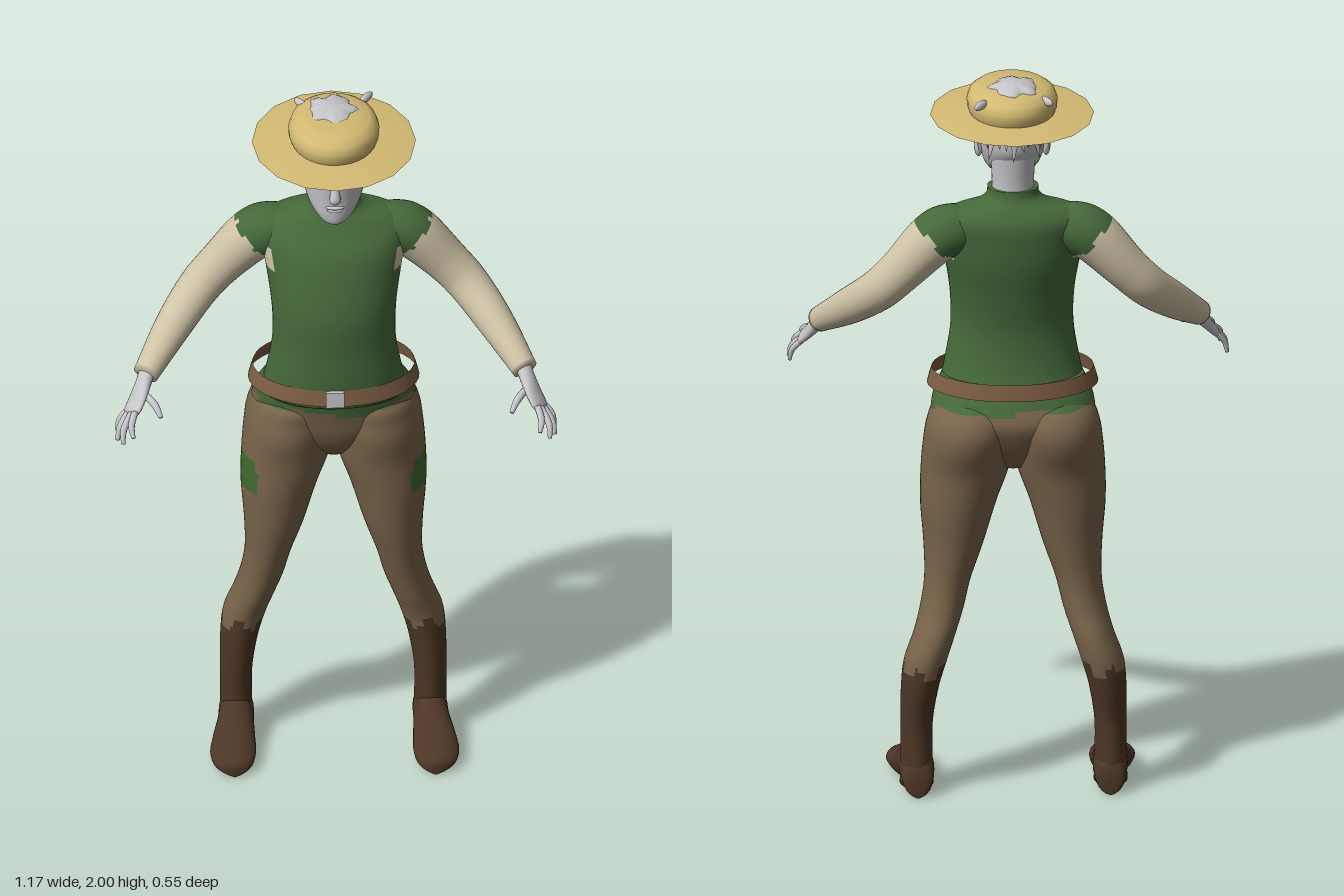
import * as THREE from 'three';

const V = (x, y, z) => new THREE.Vector3(x, y, z);
const paint = (name, color) => Object.assign(new THREE.MeshStandardMaterial({ color }), { name });

// Smoothly subdivides a table of section rows (Catmull-Rom on every column)
function refine(rows, sub) {
  const out = [], at = i => rows[Math.max(0, Math.min(rows.length - 1, i))];
  for (let i = 0; i < rows.length - 1; i++) for (let k = 0; k < sub; k++) {
    const t = k / sub;
    out.push(rows[i].map((_, c) => {
      const [a, b, d, e] = [at(i - 1)[c], at(i)[c], at(i + 1)[c], at(i + 2)[c]];
      return b + 0.5 * t * (d - a + t * (2 * a - 5 * b + 4 * d - e + t * (3 * (b - d) + e - a)));
    }));
  }
  out.push(rows.at(-1));
  return out;
}

// Closed skin over rings {c, u, v}; pick(point, angle) gives the material index of a quad
function loft(name, rings, mats, seg = 32, pick = () => 0) {
  const pos = [], tris = mats.map(() => []), n = rings.length;
  const pt = (r, a) => r.c.clone().addScaledVector(r.u, Math.cos(a)).addScaledVector(r.v, Math.sin(a));
  rings.forEach(r => {
    for (let j = 0; j < seg; j++) pos.push(...pt(r, j / seg * Math.PI * 2).toArray());
  });
  pos.push(...rings[0].c.toArray(), ...rings[n - 1].c.toArray());
  for (let j = 0; j < seg; j++) {
    const k = (j + 1) % seg, ang = (j + 0.5) / seg * Math.PI * 2, top = (n - 1) * seg;
    for (let i = 0; i < n - 1; i++) {
      const mid = pt(rings[i], ang).lerp(pt(rings[i + 1], ang), 0.5);
      const a = i * seg + j, b = i * seg + k;
      tris[pick(mid, ang)].push(a, b, b + seg, a, b + seg, a + seg);
    }
    tris[pick(rings[0].c, ang)].push(k, j, n * seg);
    tris[pick(rings[n - 1].c, ang)].push(top + j, top + k, n * seg + 1);
  }
  const g = new THREE.BufferGeometry();
  g.setAttribute('position', new THREE.Float32BufferAttribute(pos, 3));
  g.setIndex(tris.flat());
  let start = 0;
  tris.forEach((t, i) => { g.addGroup(start, t.length, i); start += t.length; });
  g.computeVertexNormals();
  const mesh = new THREE.Mesh(g, mats.length > 1 ? mats : mats[0]);
  mesh.name = name;
  return mesh;
}

// Rows [y, cx, cz, rx, rz] -> horizontal rings
const stack = (rows, sub = 5) => refine(rows, sub).map(([y, cx, cz, rx, rz]) =>
  ({ c: V(cx, y, cz), u: V(0, 0, rz), v: V(rx, 0, 0) }));

// Rows [x, y, z, r, flatness] -> rings across a path
function path(rows, ref = V(0, 0, 1), sub = 5) {
  const p = refine(rows, sub), c = p.map(r => V(r[0], r[1], r[2]));
  return p.map((r, i) => {
    const t = c[Math.min(i + 1, c.length - 1)].clone().sub(c[Math.max(i - 1, 0)]).normalize();
    const u = ref.clone().addScaledVector(t, -ref.dot(t)).normalize();
    const v = t.clone().cross(u);
    return { c: c[i], u: u.multiplyScalar(r[3]), v: v.multiplyScalar(r[3] * (r[4] ?? 1)) };
  });
}

// Copy of a mesh reflected across x = 0
function mirrored(mesh) {
  const g = mesh.geometry.clone(), p = g.attributes.position, ix = g.index.array;
  for (let i = 0; i < p.count; i++) p.setX(i, -p.getX(i));
  for (let i = 0; i < ix.length; i += 3) [ix[i], ix[i + 2]] = [ix[i + 2], ix[i]];
  g.computeVertexNormals();
  const m = new THREE.Mesh(g, mesh.material);
  m.name = mesh.name.replace('left', 'right');
  return m;
}

export function createModel() {
  const root = new THREE.Group();
  root.name = 'figure';
  const skin = paint('pale grey', 0xc6c6ca), shirt = paint('shirt green', 0x45693a);
  const cream = paint('sleeve cream', 0xcfc3a6), pants = paint('trouser brown', 0x79644a);
  const boots = paint('boot brown', 0x4d3626), belt = paint('belt brown', 0x7c5d42);
  const straw = paint('straw', 0xd4bb73), patch = paint('patch green', 0x41682f);
  belt.side = straw.side = THREE.DoubleSide;
  const add = m => (root.add(m), m);
  const both = m => { add(m); add(mirrored(m)); };
  const blob = (name, mat, x, y, z, sx, sy, sz) => {
    const g = new THREE.SphereGeometry(1, 14, 10).scale(sx, sy, sz).translate(x, y, z);
    return Object.assign(new THREE.Mesh(g, mat), { name });
  };
  const jag = a => (Math.sin(a * 5) > 0.2 ? 1 : 0) + (Math.sin(a * 3 + 1) > 0 ? 0.6 : 0);

  // Shirt body with torn armholes
  add(loft('shirt', stack([
    [1.13, 0, -0.035, 0.195, 0.128], [1.2, 0, -0.02, 0.18, 0.121], [1.3, 0, -0.015, 0.164, 0.115],
    [1.4, 0, -0.022, 0.166, 0.122], [1.5, 0, -0.044, 0.18, 0.122], [1.575, 0, -0.06, 0.193, 0.112],
    [1.625, 0, -0.077, 0.198, 0.094], [1.655, 0, -0.08, 0.165, 0.077], [1.672, 0, -0.078, 0.1, 0.066],
    [1.69, 0, -0.071, 0.072, 0.061], [1.712, 0, -0.068, 0.068, 0.06],
  ], 6), [shirt, cream], 48, (p, a) =>
    Math.abs(p.x) > 0.163 && p.y > 1.515 - 0.01 * jag(a) && p.y < 1.575 ? 1 : 0));

  // Hips with the ragged shirt hem
  const hem = (p, a) => p.y > 1.112 - 0.018 * jag(a) ? 1 : 0;
  add(loft('hips', stack([
    [0.925, 0, -0.065, 0.05, 0.06], [0.97, 0, -0.065, 0.12, 0.1], [1.02, 0, -0.068, 0.2, 0.125],
    [1.07, 0, -0.07, 0.218, 0.138], [1.12, 0, -0.055, 0.212, 0.134], [1.17, 0, -0.035, 0.188, 0.127],
  ], 6), [pants, shirt], 48, hem));

  // Legs: trousers, knee patch and boot shaft
  both(loft('left leg', stack([
    [0.03, 0.258, -0.107, 0.045, 0.056], [0.1, 0.258, -0.105, 0.043, 0.053], [0.2, 0.258, -0.103, 0.043, 0.053],
    [0.3, 0.25, -0.11, 0.05, 0.065], [0.38, 0.235, -0.112, 0.057, 0.073], [0.45, 0.211, -0.1, 0.056, 0.079],
    [0.52, 0.19, -0.083, 0.058, 0.076], [0.6, 0.174, -0.07, 0.062, 0.081], [0.7, 0.158, -0.064, 0.08, 0.096],
    [0.82, 0.145, -0.065, 0.102, 0.114], [0.92, 0.127, -0.068, 0.118, 0.126], [1, 0.12, -0.076, 0.118, 0.147],
    [1.05, 0.114, -0.08, 0.116, 0.147], [1.09, 0.108, -0.072, 0.105, 0.135], [1.12, 0.1, -0.06, 0.08, 0.1],
  ], 6), [pants, boots, patch, shirt], 48, (p, a) => {
    if (p.y < 0.345 + 0.025 * jag(a)) return 1;
    if (p.x > 0.15 && p.y > 0.82 && p.y < 0.92 && p.z > -0.09 && p.z < 0.025) return 2;
    return p.y > 1.1 ? 3 : 0;
  }));

  // Feet: rows [z, cx, half width, height]
  both(loft('left foot', refine([
    [-0.166, 0.256, 0.018, 0.05], [-0.155, 0.256, 0.038, 0.09], [-0.11, 0.257, 0.046, 0.125],
    [-0.05, 0.26, 0.048, 0.12], [0, 0.266, 0.056, 0.082], [0.06, 0.27, 0.061, 0.062],
    [0.11, 0.27, 0.052, 0.052], [0.132, 0.268, 0.032, 0.042], [0.139, 0.267, 0.01, 0.03],
  ], 4).map(([z, x, w, h]) => ({ c: V(x, 0.004 + h / 2, z), u: V(w, 0, 0), v: V(0, h / 2, 0) })), [boots], 28));

  // Arms: green shoulder cap running into the cream sleeve
  both(loft('left arm', path([
    [0.1, 1.6, -0.08, 0.055], [0.165, 1.594, -0.085, 0.07], [0.217, 1.567, -0.09, 0.071],
    [0.3, 1.48, -0.09, 0.06], [0.36, 1.417, -0.068, 0.056], [0.43, 1.345, 0.01, 0.049], [0.505, 1.265, 0.12, 0.034],
  ], V(0, 0, 1), 8), [shirt, cream], 32, (p, a) =>
    (p.x - 0.215) - (p.y - 1.58) < 0.012 * jag(a) - 0.005 ? 0 : 1));

  // Hands
  both(loft('left palm', path([
    [0.498, 1.275, 0.108, 0.024, 0.9], [0.51, 1.25, 0.135, 0.027, 0.7], [0.525, 1.222, 0.163, 0.037, 0.42],
    [0.542, 1.195, 0.19, 0.038, 0.33], [0.547, 1.186, 0.196, 0.024, 0.3],
  ], V(-0.04, 0.03, 0.09)), [skin], 20));
  [['little', [0.552, 1.187, 0.163], [0.575, 1.16, 0.174], [0.582, 1.128, 0.178], 0.008],
    ['ring', [0.551, 1.188, 0.183], [0.574, 1.158, 0.207], [0.581, 1.124, 0.22], 0.009],
    ['middle', [0.544, 1.196, 0.202], [0.565, 1.167, 0.236], [0.567, 1.133, 0.256], 0.009],
    ['index', [0.535, 1.208, 0.216], [0.545, 1.185, 0.247], [0.54, 1.16, 0.27], 0.009],
    ['thumb', [0.512, 1.235, 0.16], [0.482, 1.222, 0.203], [0.466, 1.2, 0.232], 0.01],
  ].forEach(([n, a, b, c, r]) => both(loft(`left ${n} finger`, path(
    [[...a, r], [...b, r], [...c, r * 0.6]], V(1, 0.3, 0), 4), [skin], 10)));

  // Belt and buckle
  const band = new THREE.LatheGeometry([new THREE.Vector2(1, 1.148), new THREE.Vector2(0.975, 1.17),
    new THREE.Vector2(0.945, 1.192)], 40).scale(0.228, 1, 0.162).translate(0, 0, -0.052);
  add(new THREE.Mesh(band, belt)).name = 'belt';
  const buckle = add(new THREE.Mesh(new THREE.BoxGeometry(0.048, 0.046, 0.012), skin));
  buckle.name = 'buckle';
  buckle.position.set(0, 1.17, 0.108);

  // Neck and head
  add(loft('neck', stack([[1.66, 0, -0.075, 0.06, 0.056], [1.72, 0, -0.07, 0.056, 0.054],
    [1.83, 0, -0.07, 0.062, 0.066]]), [skin]));
  add(loft('head', stack([
    [1.698, 0, 0.052, 0.018, 0.018], [1.708, 0, 0.042, 0.036, 0.04], [1.735, 0, 0.02, 0.06, 0.067],
    [1.77, 0, -0.006, 0.077, 0.095], [1.82, 0, -0.024, 0.087, 0.118], [1.87, 0, -0.027, 0.092, 0.122],
    [1.92, 0, -0.03, 0.09, 0.12], [1.965, 0, -0.03, 0.06, 0.08],
  ]), [skin], 36));
  add(loft('nose', path([[0, 1.845, 0.083, 0.009, 1], [0, 1.815, 0.095, 0.011, 1.1], [0, 1.793, 0.1, 0.013, 1.2],
    [0, 1.785, 0.092, 0.008, 1.4]]), [skin], 12));
  add(blob('upper lip', skin, 0, 1.761, 0.086, 0.025, 0.006, 0.009));
  add(blob('lower lip', skin, 0, 1.751, 0.083, 0.021, 0.007, 0.009));
  both(blob('left eye', skin, 0.034, 1.831, 0.08, 0.015, 0.008, 0.008));
  both(blob('left brow', skin, 0.036, 1.849, 0.082, 0.022, 0.005, 0.009));
  both(blob('left ear', skin, 0.09, 1.815, -0.035, 0.012, 0.032, 0.02));

  // Hair: cap, ragged locks under the brim, tuft through the crown
  add(loft('hair cap', stack([[1.865, 0, -0.03, 0.096, 0.128], [1.89, 0, -0.028, 0.106, 0.134],
    [1.93, 0, -0.027, 0.106, 0.132], [1.965, 0, -0.027, 0.08, 0.1]]), [skin]));
  for (let i = 0; i < 30; i++) {
    const a = i / 30 * Math.PI * 2, drop = Math.cos(a) > 0.55 ? 0.055 : 0.08;
    const h = drop + 0.022 * Math.sin(i * 4.3);
    const g = new THREE.ConeGeometry(0.02, h, 6).scale(1, 1, 0.45).rotateX(Math.PI).rotateY(a);
    const lock = add(new THREE.Mesh(g, skin));
    lock.name = 'hair lock';
    lock.position.set(0.102 * Math.sin(a), 1.908 - h / 2, -0.028 + 0.132 * Math.cos(a));
    lock.rotation.z = 0.18 * Math.sin(i * 2.7);
  }
  const tuft = new THREE.SphereGeometry(1, 28, 10), tp = tuft.attributes.position;
  for (let i = 0; i < tp.count; i++) {
    const a = Math.atan2(tp.getX(i), tp.getZ(i)), k = 1 + 0.1 * Math.sin(a * 5) + 0.08 * Math.cos(a * 8);
    tp.setXYZ(i, -0.004 + tp.getX(i) * 0.064 * k, 1.978 + tp.getY(i) * 0.022, -0.05 + tp.getZ(i) * 0.072 * k);
  }
  tuft.computeVertexNormals();
  add(new THREE.Mesh(tuft, skin)).name = 'hair tuft';
  [[-0.085, -0.11, 0.6], [0.088, -0.135, -0.6]].forEach(([x, z, turn]) => {
    const wisp = add(blob('hair wisp', skin, 0, 0, 0, 0.01, 0.012, 0.03));
    wisp.position.set(x, 1.965, z);
    wisp.rotation.y = turn;
  });

  // Straw hat
  const spin = (name, pts, seg, sz) => {
    const g = new THREE.LatheGeometry(pts.map(p => new THREE.Vector2(...p)), seg).scale(1, 1, sz).translate(0, 0, -0.026);
    add(new THREE.Mesh(g, straw)).name = name;
  };
  spin('hat brim', [[0.218, 1.9], [0.165, 1.907], [0.112, 1.91]], 16, 1.14);
  spin('hat crown', [[0.113, 1.907], [0.12, 1.925], [0.121, 1.945], [0.114, 1.965], [0.096, 1.979],
    [0.06, 1.986], [0, 1.987]], 32, 1.2);
  return root;
}
